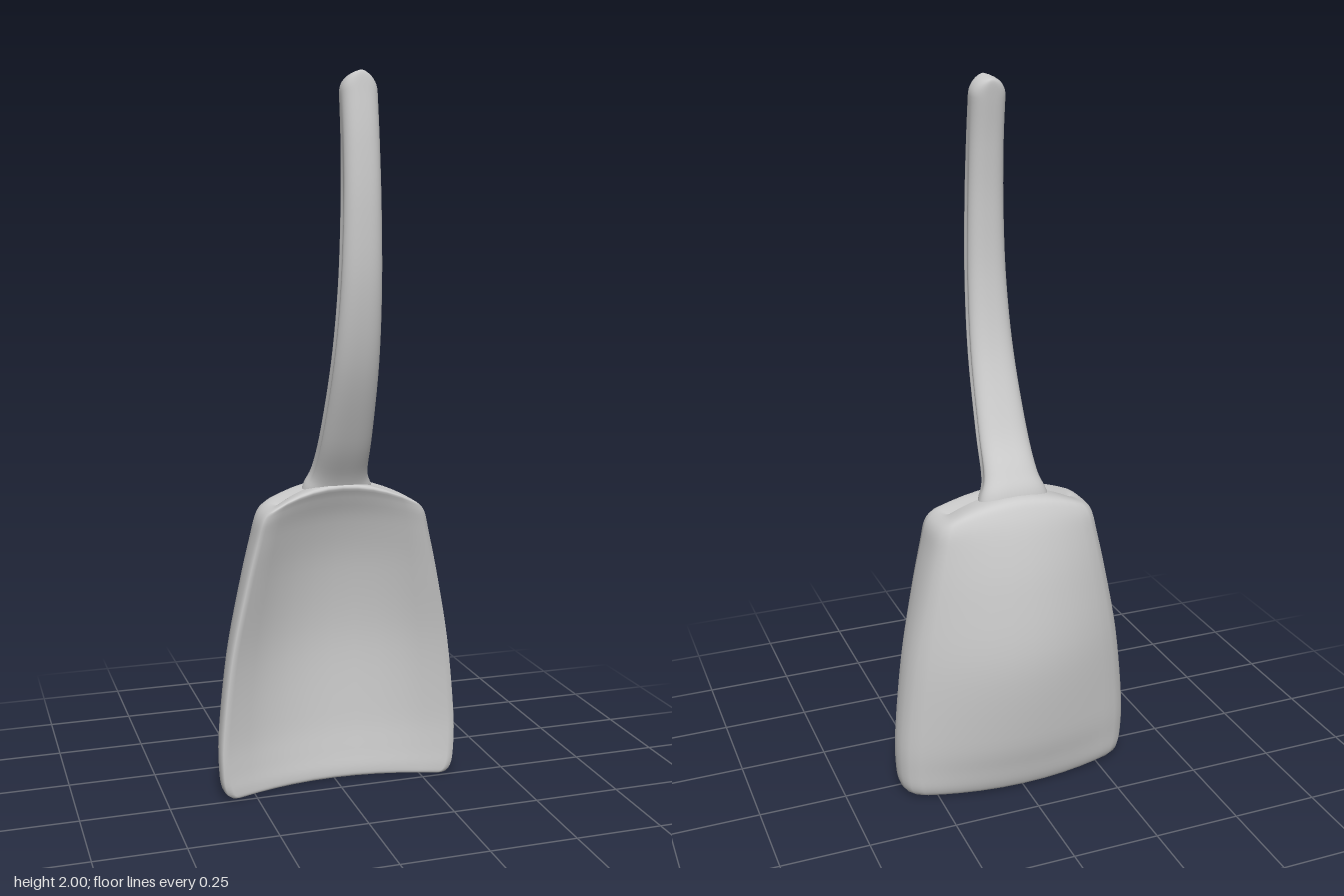
import * as THREE from 'three';

const material = new THREE.MeshStandardMaterial({ color: 0xcccccc, side: THREE.DoubleSide });

// Smooth column-wise interpolation through a table of stations, t in 0..1
function sample(rows, t) {
  const f = t * (rows.length - 1);
  const i = Math.min(Math.floor(f), rows.length - 2);
  const k = f - i;
  const at = (n) => rows[Math.max(0, Math.min(rows.length - 1, n))];
  return rows[0].map((_, c) => {
    const [a, b, d, e] = [at(i - 1)[c], at(i)[c], at(i + 1)[c], at(i + 2)[c]];
    const m0 = (d - a) / 2, m1 = (e - b) / 2;
    return b + m0 * k + (3 * (d - b) - 2 * m0 - m1) * k * k + (2 * (b - d) + m0 + m1) * k * k * k;
  });
}

// Skin a stack of closed rings into one smooth mesh
function loft(name, rings) {
  const n = rings[0].length;
  const index = [];
  for (let r = 0; r < rings.length - 1; r++) {
    for (let j = 0; j < n; j++) {
      const a = r * n + j, b = r * n + ((j + 1) % n);
      index.push(a, a + n, b, b, a + n, b + n);
    }
  }
  const geometry = new THREE.BufferGeometry();
  geometry.setAttribute('position', new THREE.Float32BufferAttribute(rings.flat(2), 3));
  geometry.setIndex(index);
  geometry.computeVertexNormals();
  const mesh = new THREE.Mesh(geometry, material);
  mesh.name = name;
  return mesh;
}

// Dished blade: shallow hollow front, bulging back, rounded rim
function makeBlade() {
  // edge y, half width, rise at middle, front middle z, front edge z, back middle z, back edge z, fullness
  const rows = [
    [0.005, 0.28, 0.0, -0.06, 0.005, -0.135, -0.08, 0],
    [0.006, 0.318, 0.0, -0.06, 0.005, -0.138, -0.08, 0.8],
    [0.03, 0.343, 0.0, -0.062, 0.008, -0.147, -0.082, 1],
    [0.09, 0.352, 0.0, -0.07, 0.01, -0.163, -0.083, 1],
    [0.2, 0.35, 0.0, -0.082, 0.012, -0.187, -0.085, 1],
    [0.42, 0.325, 0.01, -0.09, 0.022, -0.209, -0.088, 1],
    [0.62, 0.285, 0.02, -0.066, 0.036, -0.188, -0.092, 1],
    [0.75, 0.254, 0.032, -0.03, 0.044, -0.158, -0.094, 1],
    [0.815, 0.236, 0.046, 0.002, 0.047, -0.13, -0.092, 1],
    [0.842, 0.208, 0.053, 0.022, 0.042, -0.11, -0.085, 0.86],
    [0.845, 0.18, 0.053, 0.02, 0.036, -0.1, -0.08, 0],
  ];
  // right half of the rounded section, from back middle to front middle
  const side = [[0.2, -1], [0.4, -1], [0.58, -1], [0.73, -1], [0.86, -1], [0.94, -0.86], [0.985, -0.5],
    [1, 0], [0.997, 0.5], [0.98, 0.85], [0.93, 1], [0.75, 1], [0.58, 1], [0.4, 1], [0.2, 1]];
  const loop = [[0, -1], ...side, [0, 1], ...side.map(([u, s]) => [-u, s]).reverse()];
  const rings = [];
  const steps = 50;
  for (let i = 0; i <= steps; i++) {
    const [y, w, rise, fc, fe, bc, be, full] = sample(rows, i / steps);
    rings.push(loop.map(([u, s]) => {
      const front = fc + (fe - fc) * u * u;
      const back = bc + (be - bc) * u * u;
      return [u * w, y + rise * (1 - u * u), (front + back) / 2 + (front - back) / 2 * s * full];
    }));
  }
  return loft('blade', rings);
}

// Bowed handle: flattened oval section with a shallow groove along each side
function makeHandle() {
  // y, z, half width, half depth, groove depth
  const rows = [
    [0.84, -0.055, 0.11, 0.04, 0],
    [0.89, -0.042, 0.098, 0.046, 0],
    [0.94, -0.018, 0.08, 0.043, 0.05],
    [1.05, 0.043, 0.073, 0.04, 0.1],
    [1.25, 0.121, 0.065, 0.04, 0.1],
    [1.45, 0.16, 0.058, 0.041, 0.1],
    [1.65, 0.168, 0.053, 0.041, 0.1],
    [1.82, 0.159, 0.05, 0.041, 0.04],
    [1.945, 0.143, 0.049, 0.041, 0],
  ];
  const rings = [];
  const addRing = (y, z, w, d, ty, tz, groove) => {
    const ring = [];
    for (let j = 0; j < 56; j++) {
      const a = (j / 56) * Math.PI * 2;
      const c = Math.cos(a), s = Math.sin(a);
      const dent = 1 - groove * Math.exp(-((s / 0.2) ** 4));
      const px = Math.sign(c) * Math.abs(c) ** 0.75 * w * dent;
      const pn = Math.sign(s) * Math.abs(s) ** 0.85 * d;
      ring.push([px, y - tz * pn, z + ty * pn]);
    }
    rings.push(ring);
  };
  const steps = 48;
  let ty = 1, tz = 0;
  for (let i = 0; i <= steps; i++) {
    const t = i / steps;
    const [y, z, w, d, groove] = sample(rows, t);
    const p0 = sample(rows, Math.max(0, t - 0.01)), p1 = sample(rows, Math.min(1, t + 0.01));
    const len = Math.hypot(p1[0] - p0[0], p1[1] - p0[1]);
    ty = (p1[0] - p0[0]) / len;
    tz = (p1[1] - p0[1]) / len;
    addRing(y, z, w, d, ty, tz, groove);
  }
  // tip: domed across its width, nearly flat through its depth
  const [y, z, w, d] = rows[rows.length - 1];
  for (let i = 1; i <= 10; i++) {
    const a = (i / 10) * Math.PI / 2;
    const rise = 0.051 * Math.sin(a);
    const depth = d * (1 - 0.2 * (i / 10) ** 4);
    addRing(y + ty * rise, z + tz * rise, w * Math.cos(a), depth, ty, tz, 0);
  }
  return loft('handle', rings);
}

export function createModel() {
  const group = new THREE.Group();
  group.name = 'spatula';
  group.add(makeBlade(), makeHandle());
  return group;
}
